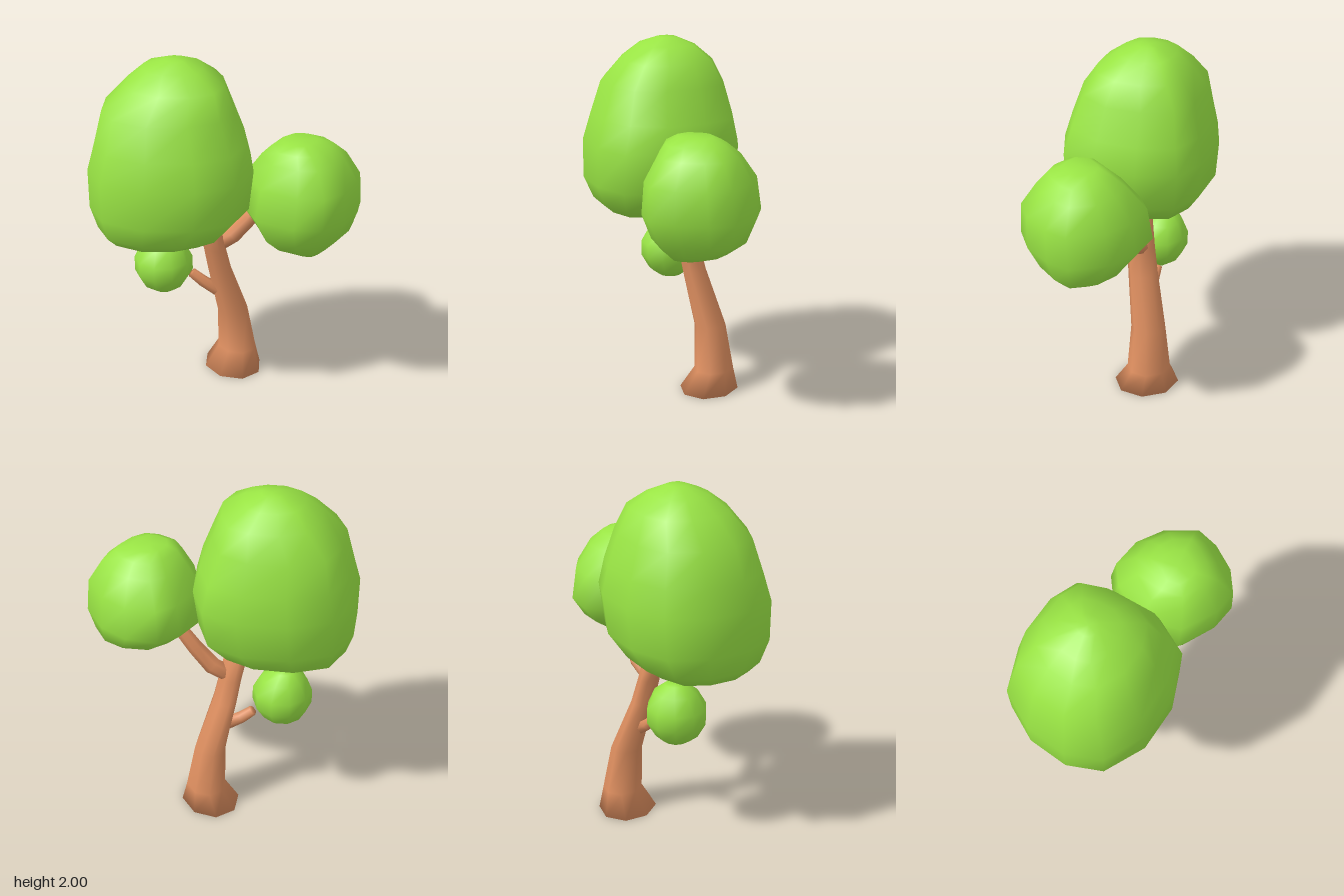
import * as THREE from 'three';

const bark = new THREE.MeshStandardMaterial({ color: 0xdd8e5f });
const leaf = new THREE.MeshStandardMaterial({ color: 0x99e444 });

// Regular outline of n corners on the unit circle, as [x, z]
const round = (n, phase = 0) => Array.from({ length: n }, (_, k) => {
  const a = phase + (k / n) * Math.PI * 2;
  return [Math.cos(a), Math.sin(a)];
});

// Irregular outline from [degrees, radius] pairs
const uneven = (pairs) => pairs.map(([deg, r]) => {
  const a = THREE.MathUtils.degToRad(deg);
  return [Math.cos(a) * r, Math.sin(a) * r];
});

// Smooth closed loft of an outline through rings [x, y, z, rx, rz], bottom to top.
// With follow = true the rings stand square to the path instead of level.
function loft(name, material, outline, rings, follow = false) {
  const up = new THREE.Vector3(0, 1, 0);
  const sides = outline.length;
  const centres = rings.map(([x, y, z]) => new THREE.Vector3(x, y, z));
  const last = rings.length - 1;
  const pos = [], index = [];
  rings.forEach(([, , , rx, rz = rx], i) => {
    const dir = centres[Math.min(i + 1, last)].clone().sub(centres[Math.max(i - 1, 0)]).normalize();
    const turn = new THREE.Quaternion();
    if (follow) turn.setFromUnitVectors(up, dir);
    for (const [u, v] of outline) {
      const p = new THREE.Vector3(u * rx, 0, v * rz);
      pos.push(...p.applyQuaternion(turn).add(centres[i]).toArray());
    }
  });
  const bottom = pos.length / 3, top = bottom + 1;
  pos.push(...centres[0].toArray(), ...centres[last].toArray());
  for (let k = 0; k < sides; k++) {
    const n = (k + 1) % sides;
    for (let i = 0; i < last; i++) {
      const a = i * sides + k, b = i * sides + n;
      index.push(a, a + sides, b, b, a + sides, b + sides);
    }
    index.push(bottom, k, n, top, last * sides + n, last * sides + k);
  }
  const geo = new THREE.BufferGeometry();
  geo.setAttribute('position', new THREE.Float32BufferAttribute(pos, 3));
  geo.setIndex(index);
  geo.computeVertexNormals();
  const mesh = new THREE.Mesh(geo, material);
  mesh.name = name;
  return mesh;
}

export function createModel() {
  const tree = new THREE.Group();
  tree.name = 'tree';

  // Leaning trunk with a flared foot
  tree.add(loft('trunk', bark, round(8, Math.PI / 8), [
    [0.185, 0, -0.095, 0.162, 0.189],
    [0.215, 0.13, -0.097, 0.109, 0.126],
    [0.185, 0.39, -0.1, 0.087, 0.1],
    [0.083, 0.7, -0.095, 0.062, 0.087],
    [0.045, 0.85, -0.093, 0.058, 0.081],
    [-0.008, 1.05, -0.092, 0.063, 0.078],
  ]));

  // Bent branch reaching to the front crown
  tree.add(loft('branch', bark, round(7), [
    [0.05, 0.86, -0.09, 0.048],
    [0.135, 0.92, -0.04, 0.05],
    [0.205, 1.03, 0.025, 0.044],
    [0.28, 1.17, 0.085, 0.038],
  ], true));

  // Twig beside the small leaf ball
  tree.add(loft('twig', bark, round(6), [
    [0.085, 0.54, -0.12, 0.038],
    [0.02, 0.595, -0.175, 0.034],
    [-0.03, 0.65, -0.213, 0.029],
  ], true));

  // Large egg-shaped crown, its underside shifted away from the branch
  const mainOutline = uneven([
    [-6, 1.01], [22, 0.94], [54, 0.98], [81, 1.02], [109, 0.93], [145, 0.92],
    [178, 1], [204, 0.98], [234, 0.97], [262, 1], [293, 0.91], [329, 0.93],
  ]);
  tree.add(loft('mainCrown', leaf, mainOutline, [
    [-0.29, 0.98, -0.2, 0.19],
    [-0.27, 1.01, -0.19, 0.29],
    [-0.24, 1.07, -0.18, 0.38],
    [-0.205, 1.2, -0.165, 0.46],
    [-0.19, 1.42, -0.165, 0.478, 0.467],
    [-0.185, 1.57, -0.17, 0.437, 0.425],
    [-0.19, 1.75, -0.185, 0.375, 0.37],
    [-0.155, 1.88, -0.17, 0.28],
    [-0.16, 1.96, -0.185, 0.17],
    [-0.15, 2.0, -0.18, 0.06],
  ]));

  // Round crown on the branch
  const frontOutline = uneven([
    [-7, 1], [29, 1.08], [52, 1.01], [83, 1.01], [110, 1.07], [136, 0.98],
    [178, 1], [224, 1.02], [267, 1.0], [291, 1.08], [322, 1.01],
  ]);
  tree.add(loft('frontCrown', leaf, frontOutline, [
    [0.32, 0.945, 0.38, 0.09],
    [0.34, 0.98, 0.35, 0.19, 0.15],
    [0.35, 1.05, 0.33, 0.275, 0.225],
    [0.342, 1.18, 0.292, 0.32, 0.325],
    [0.343, 1.36, 0.305, 0.298, 0.308],
    [0.34, 1.49, 0.315, 0.225, 0.215],
    [0.325, 1.55, 0.32, 0.17, 0.15],
    [0.315, 1.582, 0.31, 0.1, 0.085],
  ]));

  // Small leaf ball
  tree.add(loft('smallCrown', leaf, round(10), [
    [-0.185, 0.58, -0.272, 0.065],
    [-0.19, 0.62, -0.272, 0.12],
    [-0.188, 0.7, -0.27, 0.167],
    [-0.188, 0.785, -0.27, 0.167],
    [-0.185, 0.875, -0.278, 0.122],
    [-0.185, 0.925, -0.288, 0.058],
  ]));

  return tree;
}
